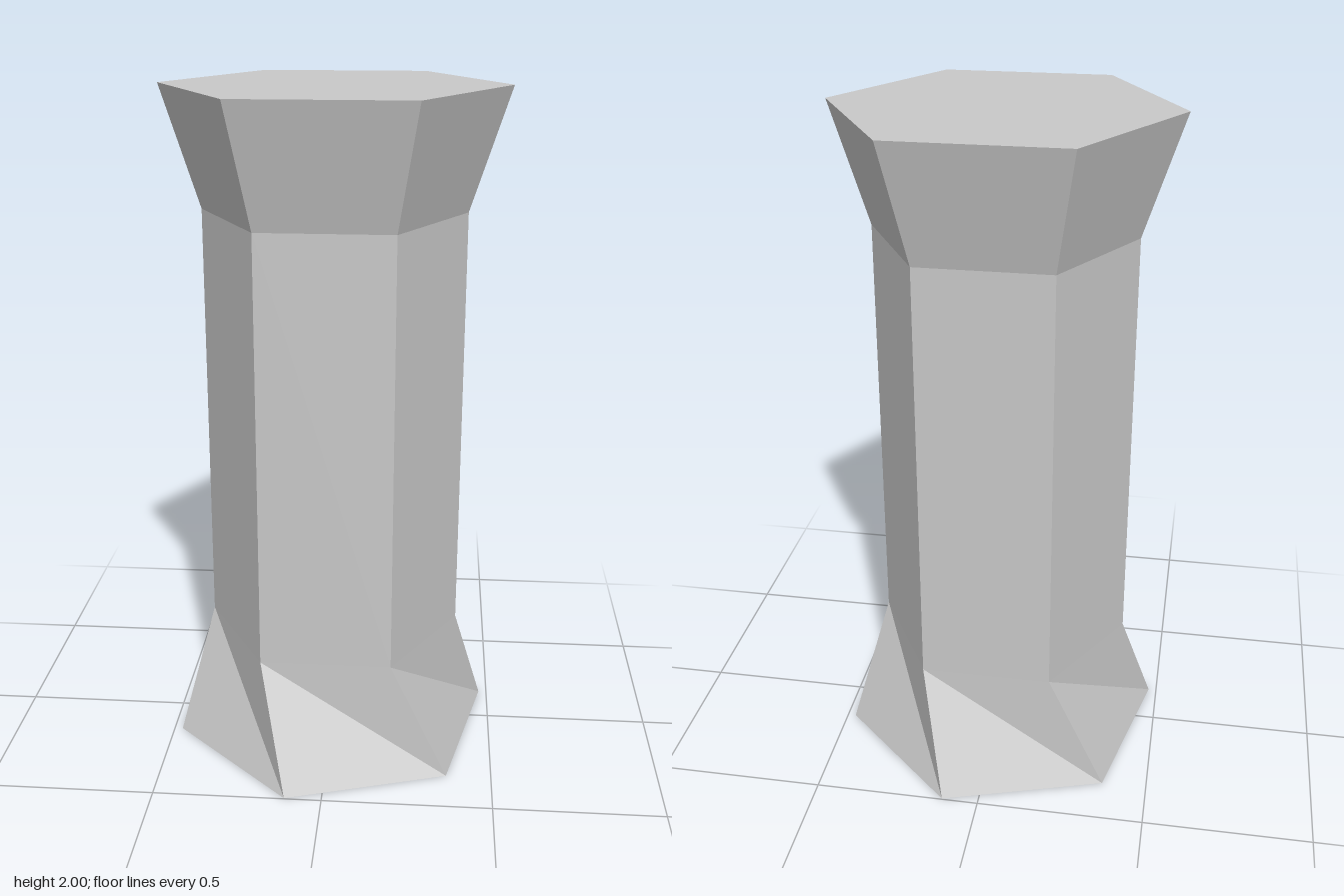
import * as THREE from 'three';

// Six-sided outline from three corners, the other three mirrored through the centre
function ring(y, corners) {
  return [...corners, ...corners.map(([x, z]) => [-x, -z])]
    .map(([x, z]) => new THREE.Vector3(x, y, z));
}

// Wall between two outlines, each running counterclockwise seen from above
function wall(low, high) {
  const tris = [];
  for (let i = 0; i < 6; i++) {
    const j = (i + 1) % 6;
    tris.push(low[i], low[j], high[i], high[i], low[j], high[j]);
  }
  return tris;
}

// Flat cap over an outline
function cap(outline, facingUp) {
  const tris = [];
  for (let i = 1; i < 5; i++) {
    const [a, b] = facingUp ? [i, i + 1] : [i + 1, i];
    tris.push(outline[0], outline[a], outline[b]);
  }
  return tris;
}

export function createModel() {
  const model = new THREE.Group();
  model.name = 'hexagonalPillar';
  const stone = new THREE.MeshStandardMaterial({ color: 0xc8c8c8 });
  stone.name = 'grey stone';
  stone.flatShading = true;

  const add = (name, tris) => {
    const geometry = new THREE.BufferGeometry().setFromPoints(tris);
    geometry.computeVertexNormals();
    const mesh = new THREE.Mesh(geometry, stone);
    mesh.name = name;
    model.add(mesh);
  };

  const shaftCorners = [[0.385, 0], [0.193, -0.342], [-0.193, -0.342]];
  const foot = ring(0, [[0.475, -0.15], [0.11, -0.497], [-0.365, -0.347]]);
  const shaftLow = ring(0.36, shaftCorners);
  const shaftHigh = ring(1.645, shaftCorners);
  const top = ring(2, [[0.5, 0], [0.25, -0.443], [-0.25, -0.443]]);

  // Twisted flared base, straight shaft, flared capital
  add('base', [...wall(foot, shaftLow), ...cap(foot, false)]);
  add('shaft', wall(shaftLow, shaftHigh));
  add('capital', [...wall(shaftHigh, top), ...cap(top, true)]);
  return model;
}
